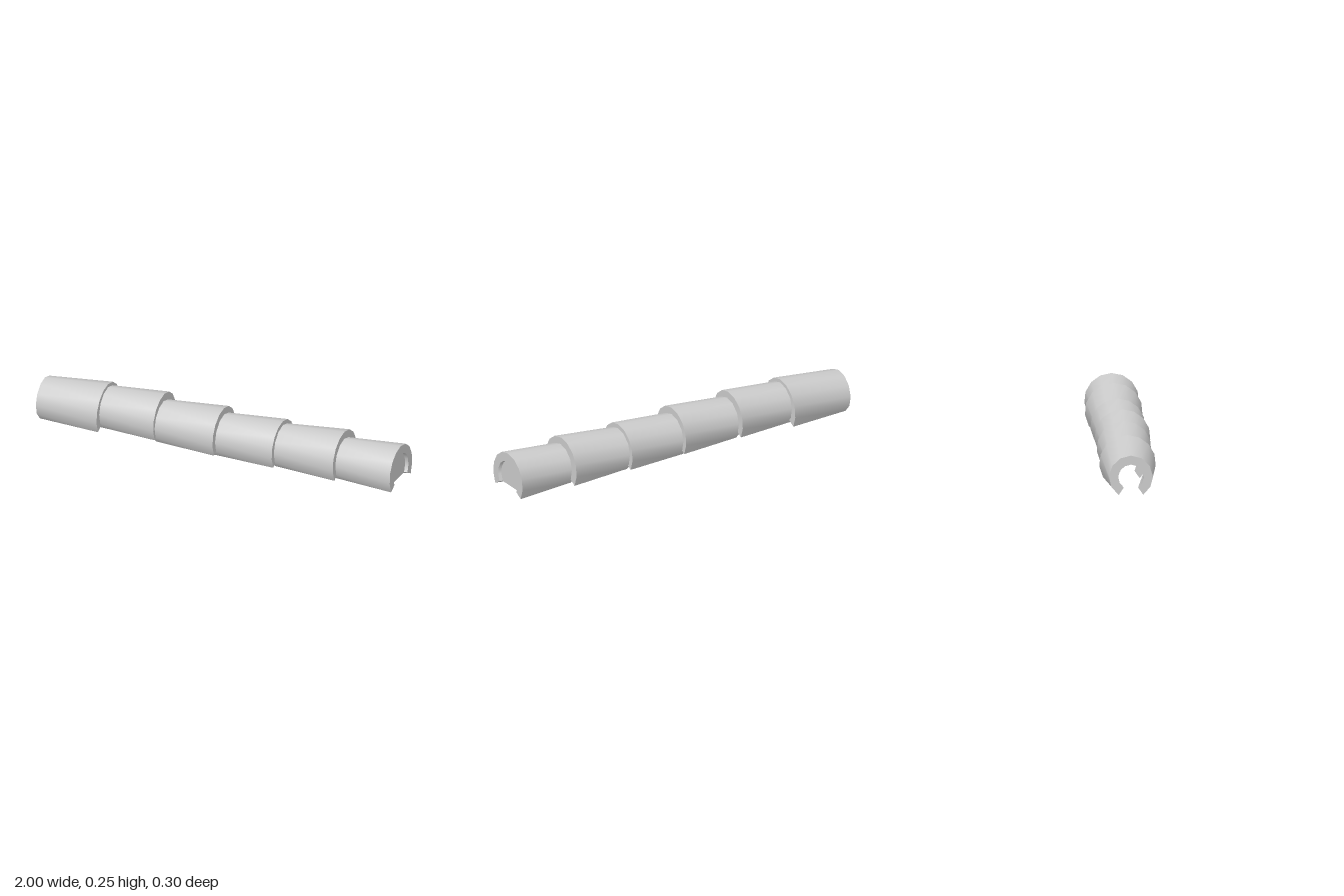
import * as THREE from 'three';
import { mergeGeometries } from 'three/addons/utils/BufferGeometryUtils.js';

const SEGMENTS = 10;
const WALL = 0.047;
const rad = THREE.MathUtils.degToRad;

// Narrow end and wide end of each tile: [x, y, z, outer radius]
const TILES = [
  [[-1, 0.101, -0.007, 0.112], [-0.645, 0.102, -0.006, 0.145]],
  [[-0.67, 0.118, -0.007, 0.11], [-0.33, 0.115, -0.007, 0.14]],
  [[-0.345, 0.106, 0.003, 0.111], [0.008, 0.103, 0.003, 0.143]],
  [[-0.02, 0.096, 0, 0.112], [0.335, 0.095, -0.004, 0.14]],
  [[0.32, 0.099, -0.005, 0.113], [0.68, 0.097, -0.006, 0.148]],
  [[0.655, 0.097, 0, 0.108], [0.998, 0.091, 0, 0.14]],
];

// Open arc around a centre; 'droop' is how far it runs below horizontal
function arc([x, y, z], radius, droop) {
  const points = [];
  for (let i = 0; i <= SEGMENTS; i++) {
    const a = rad(-droop + (i / SEGMENTS) * (180 + 2 * droop));
    points.push(new THREE.Vector3(x, y + radius * Math.sin(a), z + radius * Math.cos(a)));
  }
  return points;
}

// Surface between two rows of points, smooth along the rows
function strip(a, b) {
  const index = [];
  for (let i = 0; i < a.length - 1; i++) {
    const j = i + a.length;
    index.push(i, j, i + 1, i + 1, j, j + 1);
  }
  const g = new THREE.BufferGeometry().setFromPoints([...a, ...b]);
  g.setIndex(index);
  g.computeVertexNormals();
  return g;
}

// Tapered shell whose side edges open out towards the wide end
function tileGeometry([narrow, wide]) {
  const outN = arc(narrow, narrow[3], 56);
  const inN = arc(narrow, narrow[3] - WALL, 56);
  const outW = arc(wide, wide[3], 30);
  const inW = arc(wide, wide[3] - WALL, 30);
  const last = SEGMENTS;
  return mergeGeometries([
    strip(outN, outW),
    strip(inW, inN),
    strip(inN, outN),
    strip(outW, inW),
    strip([inN[0], outN[0]], [inW[0], outW[0]]),
    strip([outN[last], inN[last]], [outW[last], inW[last]]),
  ]);
}

export function createModel() {
  const group = new THREE.Group();
  group.name = 'ridgeTileRow';
  const material = new THREE.MeshStandardMaterial({ color: 0xcccccc, side: THREE.DoubleSide });

  TILES.forEach((tile, i) => {
    const mesh = new THREE.Mesh(tileGeometry(tile), material);
    mesh.name = `ridgeTile${i + 1}`;
    group.add(mesh);
  });

  // Flat-bottomed plug closing the wide end of the last tile
  const plugShape = new THREE.Shape();
  plugShape.absarc(0, 0.091, 0.094, rad(-31), rad(211), false);
  plugShape.closePath();
  const plugGeometry = new THREE.ExtrudeGeometry(plugShape, {
    depth: 0.19, bevelEnabled: false, curveSegments: SEGMENTS,
  });
  plugGeometry.rotateY(Math.PI / 2);
  const plug = new THREE.Mesh(plugGeometry, material);
  plug.name = 'endPlug';
  plug.position.x = 0.79;
  group.add(plug);

  return group;
}
